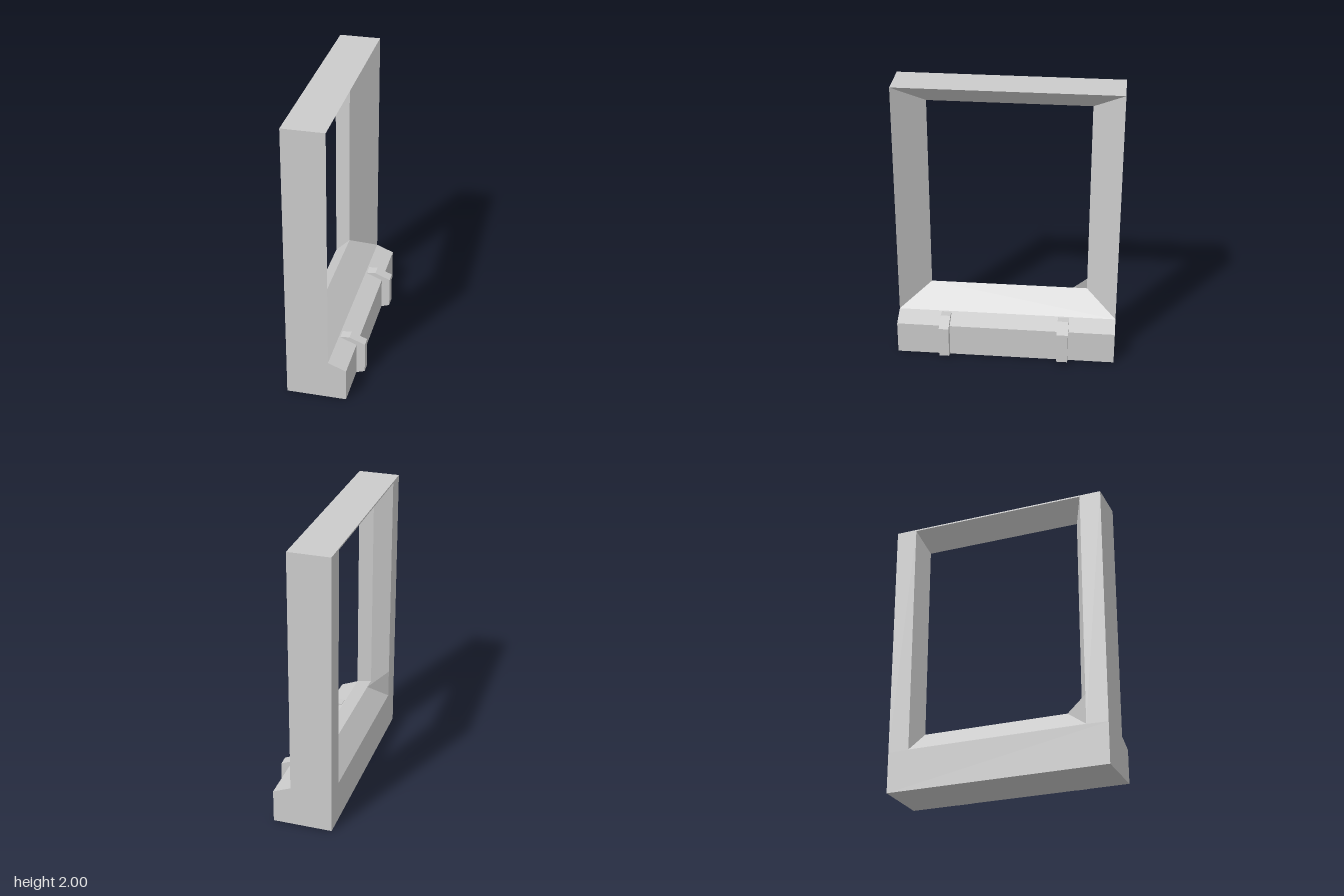
import * as THREE from 'three';

const material = new THREE.MeshStandardMaterial({ color: 0xcccccc, flatShading: true });

function addMesh(parent, name, geometry) {
  const mesh = new THREE.Mesh(geometry, material);
  mesh.name = name;
  parent.add(mesh);
  return mesh;
}

function fromTriangles(positions) {
  const geometry = new THREE.BufferGeometry();
  geometry.setAttribute('position', new THREE.Float32BufferAttribute(positions, 3));
  geometry.computeVertexNormals();
  return geometry;
}

// Extrude an x-y outline along z between two depths
function extrudeZ(points, z0, z1) {
  const shape = new THREE.Shape(points.map(([x, y]) => new THREE.Vector2(x, y)));
  const geometry = new THREE.ExtrudeGeometry(shape, { depth: z1 - z0, bevelEnabled: false });
  geometry.translate(0, 0, z0);
  return geometry;
}

// Rectangular loop in the y-z plane
const loop = (x, halfZ, low, high) => [
  [x, low, halfZ], [x, low, -halfZ], [x, high, -halfZ], [x, high, halfZ],
];

// Join rectangular loops into a closed ring
function loftRing(loops) {
  const positions = [];
  loops.forEach((current, k) => {
    const next = loops[(k + 1) % loops.length];
    for (let i = 0; i < 4; i++) {
      const j = (i + 1) % 4;
      const [a, b, c, d] = [current[i], current[j], next[j], next[i]];
      positions.push(...a, ...c, ...b, ...a, ...d, ...c);
    }
  });
  return fromTriangles(positions);
}

export function createModel() {
  const group = new THREE.Group();
  group.name = 'windowFrame';

  // Mitred frame with an inner ridge and splayed reveals
  addMesh(group, 'frame', loftRing([
    loop(-0.24, 0.78, 0.285, 2),
    loop(-0.24, 0.63, 0.29, 1.99),
    loop(-0.12, 0.565, 0.43, 1.85),
    loop(0.05, 0.78, 0.285, 2),
  ]));

  // Base and projecting sill
  addMesh(group, 'sill', extrudeZ(
    [[-0.24, 0], [0.175, 0], [0.175, 0.235], [0.05, 0.285], [-0.24, 0.285]], -0.78, 0.78));

  // Two straps wrapped over the sill
  const strap = [[0.05, 0.27], [0.06, 0.285], [0.125, 0.29], [0.235, 0.245],
    [0.235, 0.02], [0.175, 0], [0.16, 0.1], [0.16, 0.22]];
  addMesh(group, 'leftStrap', extrudeZ(strap, 0.4, 0.47));
  addMesh(group, 'rightStrap', extrudeZ(strap, -0.45, -0.37));

  // Thin corner webs at the back of the lower rail
  for (const side of [1, -1]) {
    addMesh(group, 'cornerWeb', fromTriangles([
      -0.24, 0.495, side * 0.63, -0.12, 0.43, side * 0.465, -0.24, 0.29, side * 0.63,
    ]));
  }
  return group;
}
